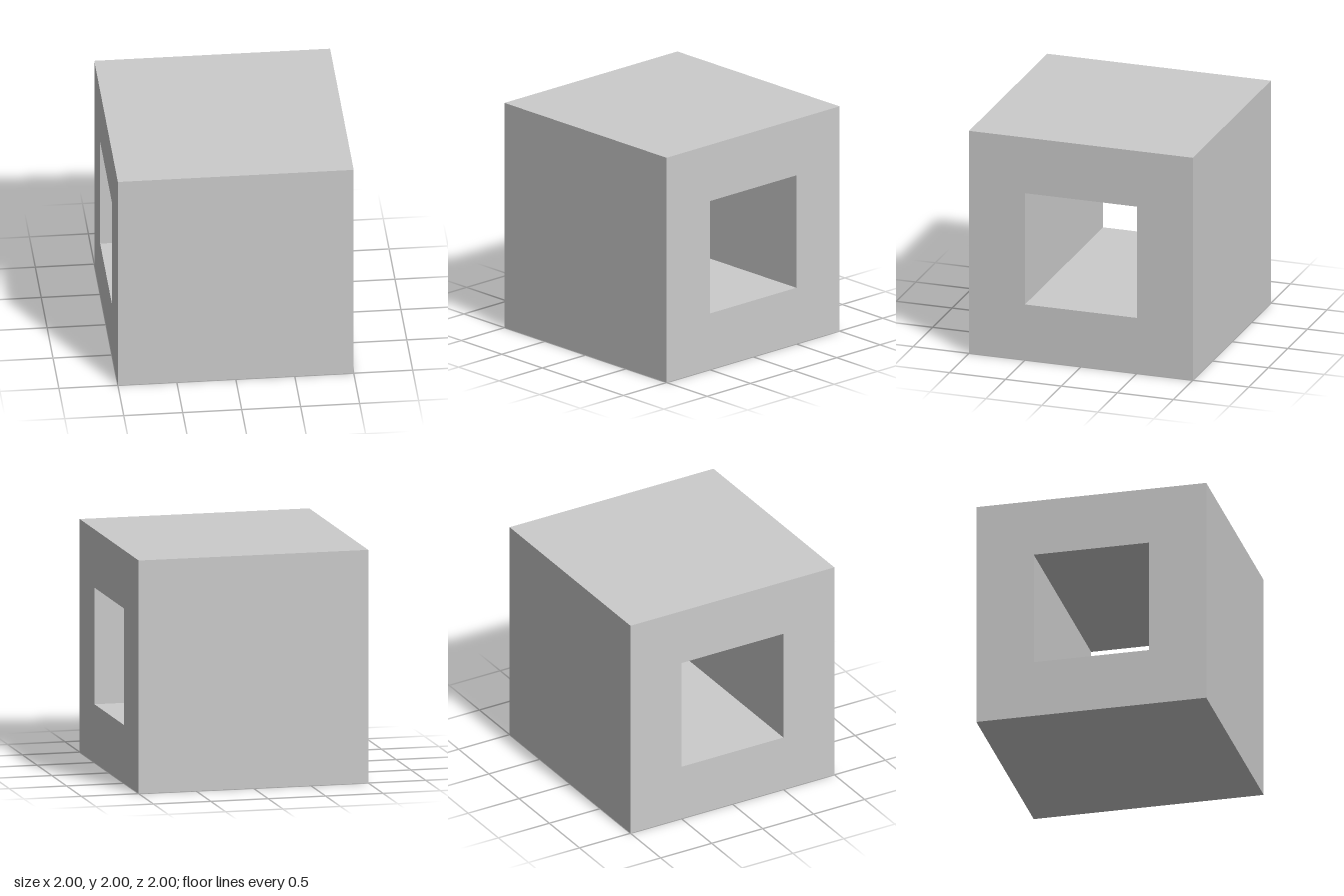
import * as THREE from 'three';

// Centred square outline, traced onto a Shape or Path
function square(path, half) {
  path.moveTo(-half, -half);
  path.lineTo(half, -half);
  path.lineTo(half, half);
  path.lineTo(-half, half);
  path.closePath();
  return path;
}

export function createModel() {
  const size = 2;
  const holeSize = 1;

  // Cube section with a square tunnel
  const section = square(new THREE.Shape(), size / 2);
  section.holes.push(square(new THREE.Path(), holeSize / 2));

  // Extrude, centre, then turn the tunnel to run from side to side
  const geometry = new THREE.ExtrudeGeometry(section, { depth: size, bevelEnabled: false });
  geometry.translate(0, 0, -size / 2);
  geometry.rotateY(Math.PI / 2);
  geometry.translate(0, size / 2, 0);

  const cube = new THREE.Mesh(
    geometry,
    new THREE.MeshStandardMaterial({ color: 0xcccccc, flatShading: true })
  );
  cube.name = 'cubeWithSquareTunnel';

  const model = new THREE.Group();
  model.name = 'hollowCube';
  model.add(cube);
  return model;
}
